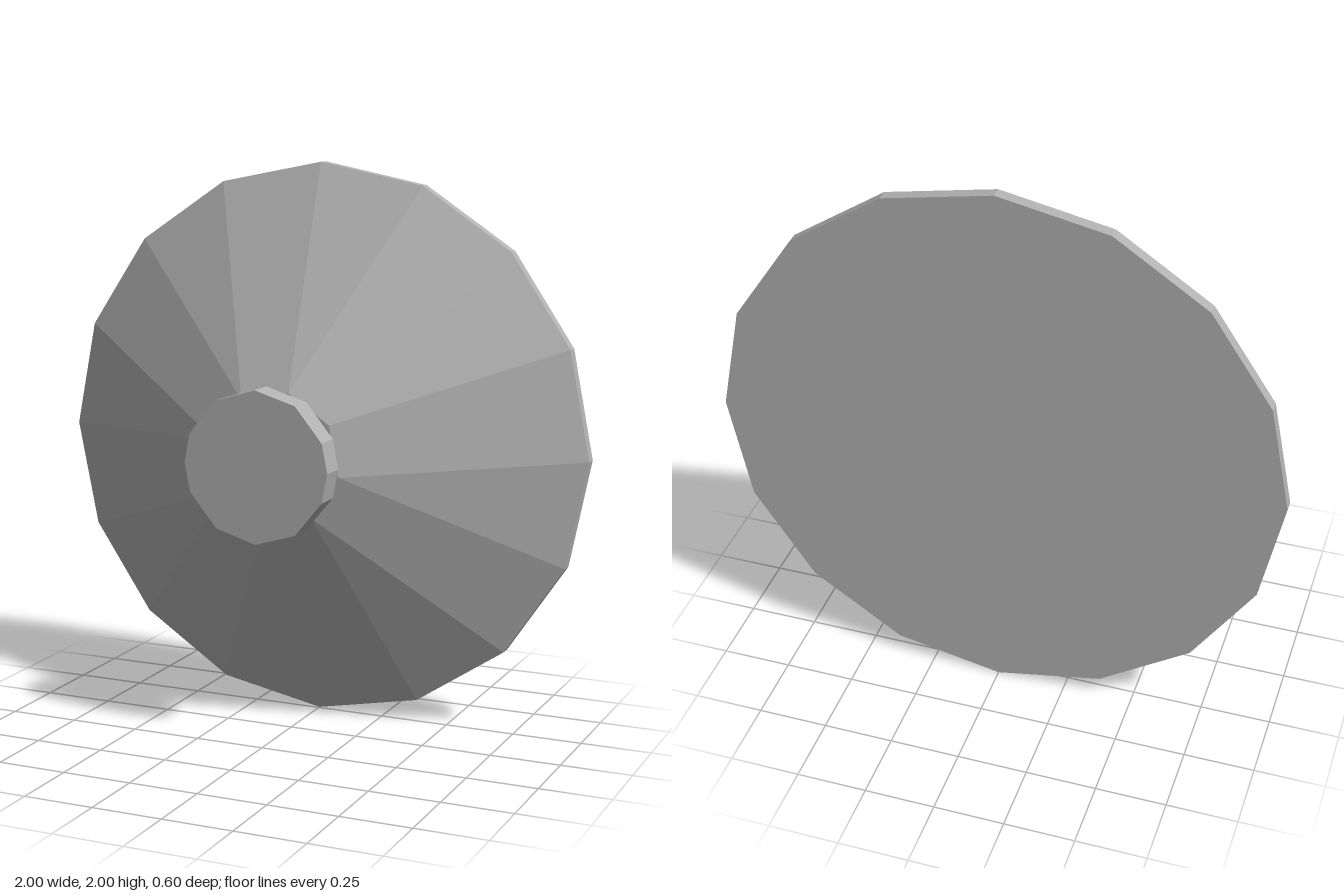
import * as THREE from 'three';

const STEP = Math.PI / 8; // one sixteenth of a turn
const point = (turn, r, z = 0) =>
  new THREE.Vector3(Math.cos(turn * STEP) * r, Math.sin(turn * STEP) * r, z);

// Flat-sided disc between two depths; turns are corner positions in sixteenths
function prism(turns, r, back, front) {
  const shape = new THREE.Shape(turns.map((t) => point(t, r)));
  const geo = new THREE.ExtrudeGeometry(shape, { depth: front - back, bevelEnabled: false });
  return geo.translate(0, 0, back);
}

// Shallow cone from a sixteen-sided rim to an eight-sided front
function coneGeometry(rOuter, zOuter, rInner, zInner) {
  const pts = [];
  const centre = new THREE.Vector3(0, 0, zInner);
  for (let k = 0; k < 8; k++) {
    const t = 1.5 + 2 * k;
    const a = point(t - 0.5, rOuter, zOuter);
    const b = point(t + 0.5, rOuter, zOuter);
    const c = point(t + 1.5, rOuter, zOuter);
    const inner = point(t, rInner, zInner);
    const next = point(t + 2, rInner, zInner);
    pts.push(a, b, inner, b, c, next, b, next, inner, centre, inner, next);
  }
  const geo = new THREE.BufferGeometry().setFromPoints(pts);
  geo.computeVertexNormals();
  return geo;
}

export function createModel() {
  const model = new THREE.Group();
  model.name = 'dish';
  const grey = new THREE.MeshStandardMaterial({ color: 0xb2b2b2, flatShading: true });
  grey.name = 'grey';

  const add = (name, geo) => {
    const mesh = new THREE.Mesh(geo, grey);
    mesh.name = name;
    mesh.position.y = 1;
    model.add(mesh);
  };

  const sixteen = Array.from({ length: 16 }, (_, i) => i);
  const eight = Array.from({ length: 8 }, (_, i) => 1.5 + 2 * i);
  // Knob outline: three corners in each quarter turn
  const twelve = [0, 4, 8, 12].flatMap((q) => [q, q + (q % 8 ? 1.5 : 1), q + (q % 8 ? 3 : 2.5)]);

  add('rim', prism(sixteen, 1, -0.3, -0.257));
  add('cone', coneGeometry(1, -0.257, 0.237, 0.127));
  add('neck', prism(eight, 0.174, 0.12, 0.207));
  add('knob', prism(twelve, 0.265, 0.205, 0.3));
  return model;
}
